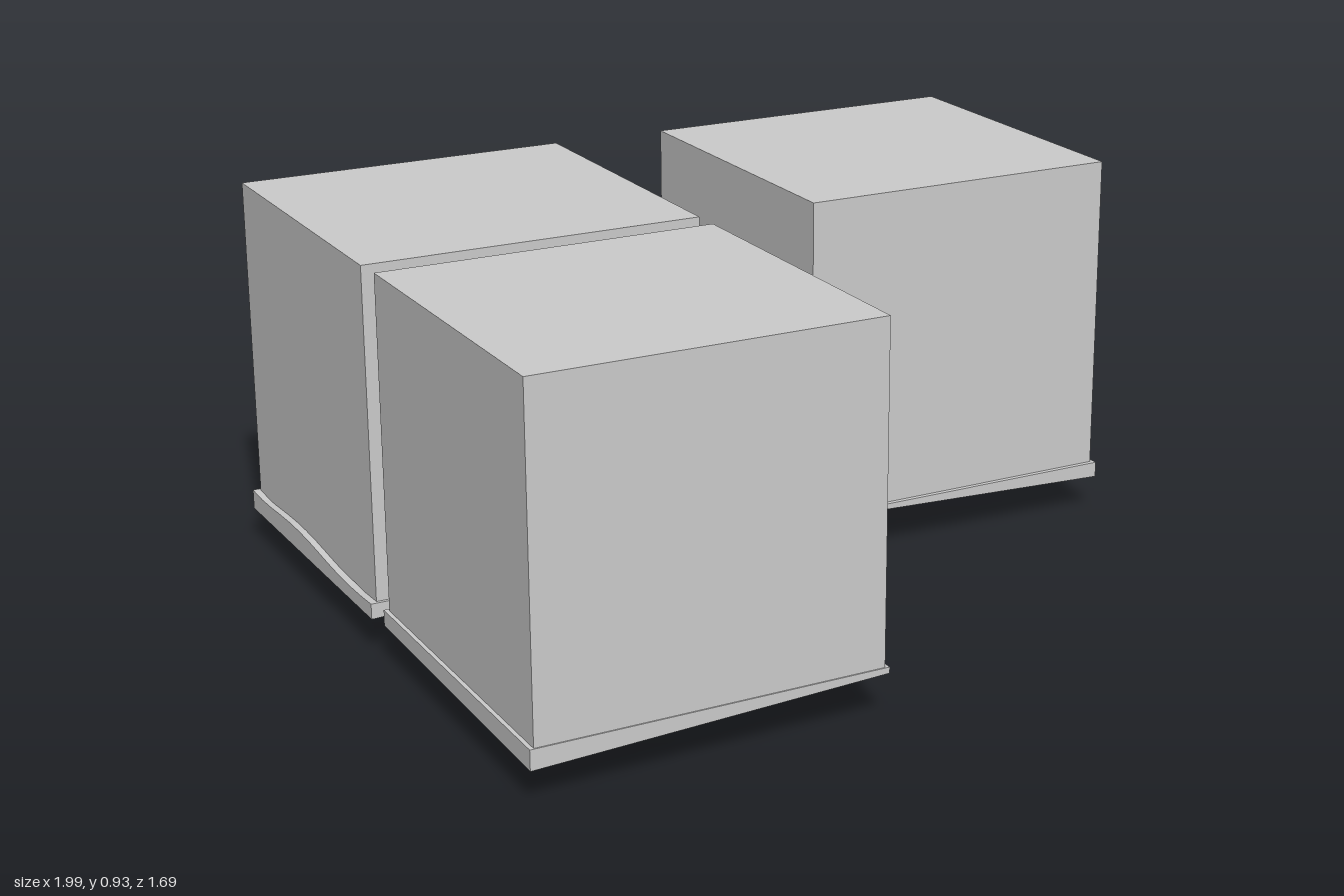
import * as THREE from 'three';
import { ConvexGeometry } from 'three/addons/geometries/ConvexGeometry.js';

const material = new THREE.MeshStandardMaterial({ color: 0xcccccc, flatShading: true });

function add(parent, name, geometry) {
  const mesh = new THREE.Mesh(geometry, material);
  mesh.name = name;
  parent.add(mesh);
  return mesh;
}

// Box given by its limits on each axis
function block(parent, name, x0, x1, y0, y1, z0, z1) {
  const mesh = add(parent, name, new THREE.BoxGeometry(x1 - x0, y1 - y0, z1 - z0));
  mesh.position.set((x0 + x1) / 2, (y0 + y1) / 2, (z0 + z1) / 2);
  return mesh;
}

// Shallow tilted ground slab: square rings running from the top rim to the underside
function groundGeometry([x0, x1, z0, z1], topHeight) {
  const n = 12;
  const corners = [[x0, z0], [x1, z0], [x1, z1], [x0, z1]];
  const cx = (x0 + x1) / 2, cz = (z0 + z1) / 2;
  const hx = (x1 - x0) / 2, hz = (z1 - z0) / 2;
  // The rim sinks away from the middle of the whole model
  const rim = (x, z) => 0.118 - 0.034 * (Math.abs(x) - 0.14) / 0.85 - 0.01 * Math.abs(z) / 0.84 + 0.005;
  const rings = [
    { inset: 0.03, y: topHeight },
    { inset: 0, y: topHeight },
    { inset: 0, y: rim },
    { inset: 0.17, y: (x, z) => rim(x, z) - 0.026 },
    { inset: 0.28, y: (x, z) => rim(x, z) - 0.029 },
    { inset: hx, y: () => rim(cx, cz) - 0.029 },
  ];
  const positions = [], index = [], count = 4 * n;
  for (const { inset, y } of rings) {
    for (let i = 0; i < count; i++) {
      const a = corners[Math.floor(i / n)], b = corners[(Math.floor(i / n) + 1) % 4];
      const t = (i % n) / n;
      const px = a[0] + (b[0] - a[0]) * t, pz = a[1] + (b[1] - a[1]) * t;
      const x = cx + (px - cx) * (1 - inset / hx);
      const z = cz + (pz - cz) * Math.max(0, 1 - inset / hz);
      positions.push(x, y(x, z), z);
    }
  }
  for (let j = 0; j < rings.length - 1; j++) {
    for (let i = 0; i < count; i++) {
      const a = j * count + i, b = j * count + (i + 1) % count;
      index.push(a, b, a + count, b, b + count, a + count);
    }
  }
  const geometry = new THREE.BufferGeometry();
  geometry.setAttribute('position', new THREE.Float32BufferAttribute(positions, 3));
  geometry.setIndex(index);
  geometry.computeVertexNormals();
  return geometry;
}

// Large block standing on its ground slab
function chamber(parent, name, box, ground, topHeight) {
  const group = new THREE.Group();
  group.name = name;
  parent.add(group);
  block(group, 'chamberWalls', box[0], box[1], 0.122, 0.93, box[2], box[3]);
  add(group, 'groundSlab', groundGeometry(ground, topHeight));
  return group;
}

// Framed door on the front of the corridor
function frontDoor(parent) {
  const door = new THREE.Group();
  door.name = 'frontDoor';
  parent.add(door);
  for (const s of [-1, 1]) {
    block(door, 'doorPost', s * 0.036 - 0.004, s * 0.036 + 0.004, 0.165, 0.325, 0.285, 0.292);
  }
  block(door, 'doorLintel', -0.04, 0.04, 0.317, 0.325, 0.285, 0.292);
  block(door, 'doorLeaf', -0.032, 0.032, 0.165, 0.317, 0.28, 0.288);
  const knob = add(door, 'doorKnob', new THREE.SphereGeometry(0.005, 8, 6));
  knob.position.set(-0.018, 0.24, 0.291);
}

export function createModel() {
  const model = new THREE.Group();
  model.name = 'chambersAndCorridor';
  const level = () => 0.128;
  // Uneven top rim with a raised hump on the rear edge
  const hilly = (x, z) => {
    const rear = THREE.MathUtils.smoothstep(-z, 0.74, 0.82);
    const hump = 1 - THREE.MathUtils.smoothstep(Math.abs(x + 0.67), 0.07, 0.2);
    return 0.128 + 0.08 * rear * hump + 0.008 * Math.sin(9 * z) * (1 - rear);
  };

  chamber(model, 'leftChamber', [0.155, 0.985, -0.825, -0.01], [0.155, 0.995, -0.835, 0.002], level);
  chamber(model, 'rearRightChamber', [-0.98, -0.14, -0.835, -0.03], [-0.997, -0.138, -0.845, -0.02], hilly);
  const front = chamber(model, 'frontRightChamber', [-0.975, -0.14, 0.038, 0.84], [-0.985, -0.13, 0.028, 0.843], level);

  // Rock hanging below the front chamber
  const rock = [
    [-0.54, 0, 0.66], [-0.52, 0.085, 0.64], [-0.5, 0.085, 0.74], [-0.42, 0.045, 0.735],
    [-0.31, 0.075, 0.68], [-0.33, 0.1, 0.74], [-0.34, 0.1, 0.58], [-0.45, 0.1, 0.58],
  ];
  add(front, 'hangingRock', new ConvexGeometry(rock.map((p) => new THREE.Vector3(...p))));

  // Corridor with doorways into the three chambers
  const corridor = new THREE.Group();
  corridor.name = 'corridor';
  model.add(corridor);
  block(corridor, 'corridorWalls', -0.135, 0.145, 0.165, 0.437, -0.265, 0.287);
  block(corridor, 'leftDoorway', 0.14, 0.16, 0.168, 0.325, -0.17, -0.09);
  for (const z of [-0.13, 0.11]) {
    block(corridor, 'rightDoorway', -0.145, -0.13, 0.168, 0.325, z - 0.04, z + 0.04);
  }
  frontDoor(corridor);
  return model;
}
